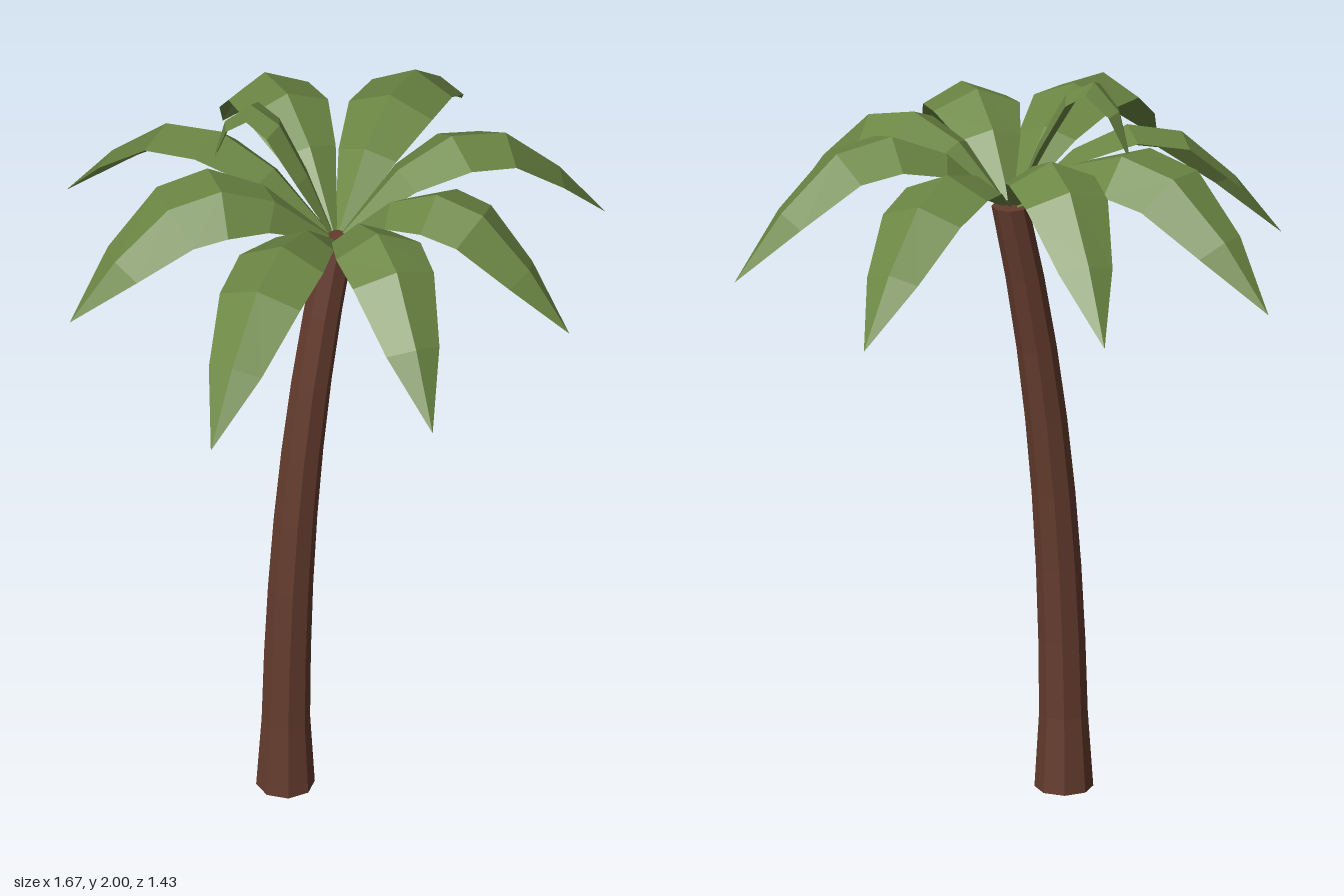
import * as THREE from 'three';

const leafGreen = new THREE.MeshStandardMaterial({ color: 0x6c8744, side: THREE.DoubleSide, flatShading: true });
leafGreen.name = 'leaf green';
const barkBrown = new THREE.MeshStandardMaterial({ color: 0x653c2e, flatShading: true });
barkBrown.name = 'bark brown';

const CROWN = new THREE.Vector3(0, 1.64, 0.08);
const TRUNK_HEIGHT = 1.63;

// Eight-sided trunk, flared at the foot and leaning toward the crown
function makeTrunk() {
  const geometry = new THREE.CylinderGeometry(1, 1, TRUNK_HEIGHT, 8, 8);
  geometry.translate(0, TRUNK_HEIGHT / 2, 0);
  const p = geometry.attributes.position;
  for (let i = 0; i < p.count; i++) {
    const t = p.getY(i) / TRUNK_HEIGHT;
    const radius = t < 0.01 ? 0.076 : 0.065 - 0.017 * t;
    p.setX(i, p.getX(i) * radius - 0.157 + 0.157 * t ** 2.5);
    p.setZ(i, p.getZ(i) * radius + 0.04 + 0.043 * t ** 2);
  }
  geometry.computeVertexNormals();
  const trunk = new THREE.Mesh(geometry, barkBrown);
  trunk.name = 'trunk';
  return trunk;
}

// Leaf blade folded along its spine: each row is left edge, ridge, right edge
function makeBlade(name, spine, halfWidths, heading, roll) {
  const fold = 0.42;
  const side = new THREE.Vector3(-heading.z, 0, heading.x);
  const positions = [];
  spine.forEach((point, i) => {
    const next = spine[Math.min(i + 1, spine.length - 1)];
    const prev = spine[Math.max(i - 1, 0)];
    const tangent = next.clone().sub(prev).normalize();
    const normal = side.clone().cross(tangent).normalize();
    for (const s of [-1, 0, 1]) {
      const angle = s * fold + roll;
      const w = s * halfWidths[i];
      const corner = point.clone()
        .addScaledVector(side, w * Math.cos(angle))
        .addScaledVector(normal, -w * Math.sin(angle));
      positions.push(corner.x, corner.y, corner.z);
    }
  });
  const index = [];
  for (let i = 0; i < spine.length - 1; i++) {
    for (let k = 0; k < 2; k++) {
      const a = i * 3 + k, b = a + 1, c = a + 3, d = a + 4;
      index.push(a, b, c);
      if (i < spine.length - 2) index.push(b, d, c);
    }
  }
  const geometry = new THREE.BufferGeometry();
  geometry.setAttribute('position', new THREE.Float32BufferAttribute(positions, 3));
  geometry.setIndex(index);
  geometry.computeVertexNormals();
  const blade = new THREE.Mesh(geometry, leafGreen);
  blade.name = name;
  return blade;
}

// Drooping frond arching from the crown to its tip
function makeFrond(name, [tipX, tipY, tipZ, apex, roll]) {
  const reach = new THREE.Vector3(tipX, 0, tipZ - CROWN.z);
  const heading = reach.clone().normalize();
  const steps = [0.025, 0.23, 0.43, 0.63, 0.83, 1];
  const heights = [
    CROWN.y, CROWN.y + 0.7 * (apex - CROWN.y), apex,
    apex - 0.03, tipY + 0.5 * (apex - tipY), tipY,
  ];
  const spine = steps.map((t, i) =>
    new THREE.Vector3(reach.x * t, heights[i], CROWN.z + reach.z * t));
  return makeBlade(name, spine, [0.014, 0.088, 0.127, 0.122, 0.08, 0], heading, roll);
}

export function createModel() {
  const palm = new THREE.Group();
  palm.name = 'palmTree';
  palm.add(makeTrunk());

  // tip x, tip y, tip z, apex height, roll
  const fronds = [
    [-0.12, 1.50, -0.72, 1.84, 0.3],
    [0.37, 1.51, -0.60, 1.87, 0],
    [0.83, 1.52, -0.18, 1.84, 0],
    [0.67, 1.51, 0.43, 1.86, -0.1],
    [0.175, 1.51, 0.715, 1.84, 0],
    [-0.37, 1.48, 0.705, 1.84, 0],
    [-0.84, 1.52, 0.35, 1.84, 0],
    [-0.59, 1.50, -0.325, 1.83, -0.35],
  ];
  const crown = new THREE.Group();
  crown.name = 'crown';
  fronds.forEach((f, i) => crown.add(makeFrond('frond' + (i + 1), f)));

  // Young upright frond curling over at the back
  const youngSpine = [
    [-0.005, 1.65, 0.07], [-0.035, 1.81, 0.015], [-0.065, 1.955, -0.055],
    [-0.09, 2.0, -0.13], [-0.11, 1.93, -0.2], [-0.12, 1.79, -0.235],
  ].map(([x, y, z]) => new THREE.Vector3(x, y, z));
  const heading = new THREE.Vector3(-0.36, 0, -0.93).normalize();
  crown.add(makeBlade('youngFrond', youngSpine, [0.012, 0.045, 0.058, 0.055, 0.04, 0], heading, 0));

  palm.add(crown);
  return palm;
}
